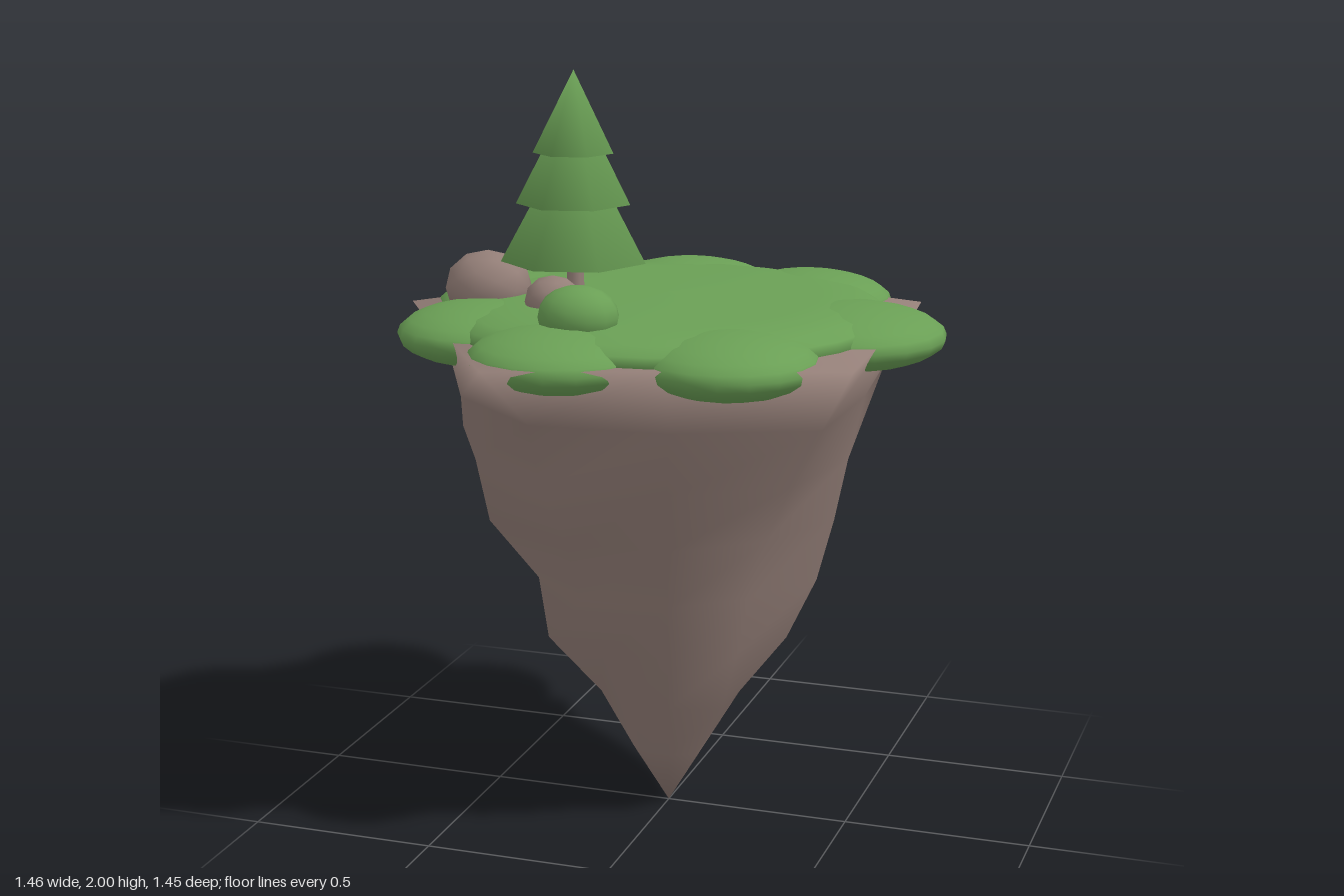
import * as THREE from 'three';
import { mergeVertices } from 'three/addons/utils/BufferGeometryUtils.js';

const rockBrown = new THREE.MeshStandardMaterial({ color: 0x947f78 });
rockBrown.name = 'rock brown';
const grassGreen = new THREE.MeshStandardMaterial({ color: 0x6a9f55 });
grassGreen.name = 'grass green';

// Weld all corners so the whole surface shades smoothly
function weld(geometry) {
  geometry.deleteAttribute('uv');
  geometry.deleteAttribute('normal');
  const welded = mergeVertices(geometry, 1e-4);
  welded.computeVertexNormals();
  return welded;
}

function addMesh(parent, name, geometry, material, x = 0, y = 0, z = 0) {
  const mesh = new THREE.Mesh(geometry, material);
  mesh.name = name;
  mesh.position.set(x, y, z);
  parent.add(mesh);
  return mesh;
}

// Upside-down cone with a five-cornered rim that turns rounder below;
// one list of radii, from tip to rim, for every 36 degrees from +x towards +z
function rockGeometry() {
  const height = 1.35, rows = 8, sides = 10;
  const radii = [
    [0, 0.10, 0.20, 0.33, 0.41, 0.455, 0.49, 0.53, 0.595],
    [0, 0.12, 0.24, 0.305, 0.355, 0.42, 0.525, 0.64, 0.755],
    [0, 0.10, 0.20, 0.29, 0.37, 0.43, 0.52, 0.55, 0.61],
    [0, 0.10, 0.20, 0.29, 0.38, 0.44, 0.54, 0.58, 0.76],
    [0, 0.10, 0.19, 0.335, 0.36, 0.49, 0.525, 0.56, 0.60],
    [0, 0.10, 0.19, 0.285, 0.30, 0.41, 0.59, 0.59, 0.73],
    [0, 0.10, 0.19, 0.36, 0.38, 0.464, 0.547, 0.56, 0.58],
    [0, 0.10, 0.20, 0.35, 0.42, 0.46, 0.59, 0.61, 0.69],
    [0, 0.10, 0.20, 0.33, 0.40, 0.44, 0.54, 0.56, 0.57],
    [0, 0.11, 0.22, 0.31, 0.36, 0.41, 0.52, 0.61, 0.715],
  ];
  const step = Math.PI * 2 / sides;
  const g = new THREE.CylinderGeometry(1, 0, height, sides, rows, false, Math.PI / 2);
  g.translate(0, height / 2, 0);
  const p = g.attributes.position;
  for (let i = 0; i < p.count; i++) {
    const x = p.getX(i), z = p.getZ(i);
    if (Math.hypot(x, z) < 0.01) continue;
    const corner = (Math.round(Math.atan2(z, x) / step) + sides) % sides;
    const r = radii[corner][Math.round(p.getY(i) / height * rows)];
    p.setX(i, r * Math.cos(corner * step));
    p.setZ(i, r * Math.sin(corner * step));
  }
  return weld(g);
}

export function createModel() {
  const model = new THREE.Group();
  model.name = 'floatingIsland';

  addMesh(model, 'islandRock', rockGeometry(), rockBrown);

  // Grass: a nearly flat middle with seven lobes
  const grass = new THREE.Group();
  grass.name = 'grass';
  model.add(grass);
  const profile = [
    [0, 1.30], [0.5, 1.31], [0.56, 1.325], [0.585, 1.35], [0.575, 1.375],
    [0.54, 1.395], [0.48, 1.408], [0.4, 1.415], [0.2, 1.421], [0, 1.423],
  ].map(([r, y]) => new THREE.Vector2(r, y));
  addMesh(grass, 'grassMiddle', new THREE.LatheGeometry(profile, 28), grassGreen);
  const lobeShape = new THREE.SphereGeometry(1, 18, 12);
  const lobes = [
    [0.475, -0.03, 0.255], [0.285, 0.395, 0.225], [-0.13, 0.455, 0.235], [-0.42, 0.23, 0.23],
    [-0.45, -0.14, 0.245], [-0.1, -0.49, 0.24], [0.26, -0.425, 0.23],
  ];
  for (const [x, z, r] of lobes) {
    addMesh(grass, 'grassLobe', lobeShape, grassGreen, x, 1.334, z).scale.set(r, 0.08, r);
  }

  // Tree: thin trunk and three stacked cones
  const tree = new THREE.Group();
  tree.name = 'tree';
  tree.position.set(-0.225, 0, 0.092);
  model.add(tree);
  addMesh(tree, 'trunk', new THREE.CylinderGeometry(0.02, 0.026, 0.2, 7), rockBrown, 0, 1.45, 0);
  const tiers = [[0.193, 1.51, 1.86], [0.152, 1.66, 1.95], [0.107, 1.79, 2.0]];
  for (const [r, bottom, top] of tiers) {
    const cone = weld(new THREE.ConeGeometry(r, top - bottom, 7, 1, false, Math.PI / 2));
    addMesh(tree, 'foliage', cone, grassGreen, 0, (bottom + top) / 2, 0);
  }

  // Boulders and bush
  const lump = weld(new THREE.IcosahedronGeometry(1, 1));
  addMesh(model, 'largeBoulder', lump, rockBrown, -0.465, 1.425, 0.1).scale.set(0.118, 0.098, 0.1);
  addMesh(model, 'smallBoulder', lump, rockBrown, -0.24, 1.425, 0.215).scale.set(0.075, 0.065, 0.072);
  const bush = new THREE.SphereGeometry(1, 12, 10);
  addMesh(model, 'bush', bush, grassGreen, -0.103, 1.43, 0.4).scale.set(0.105, 0.077, 0.088);

  return model;
}
